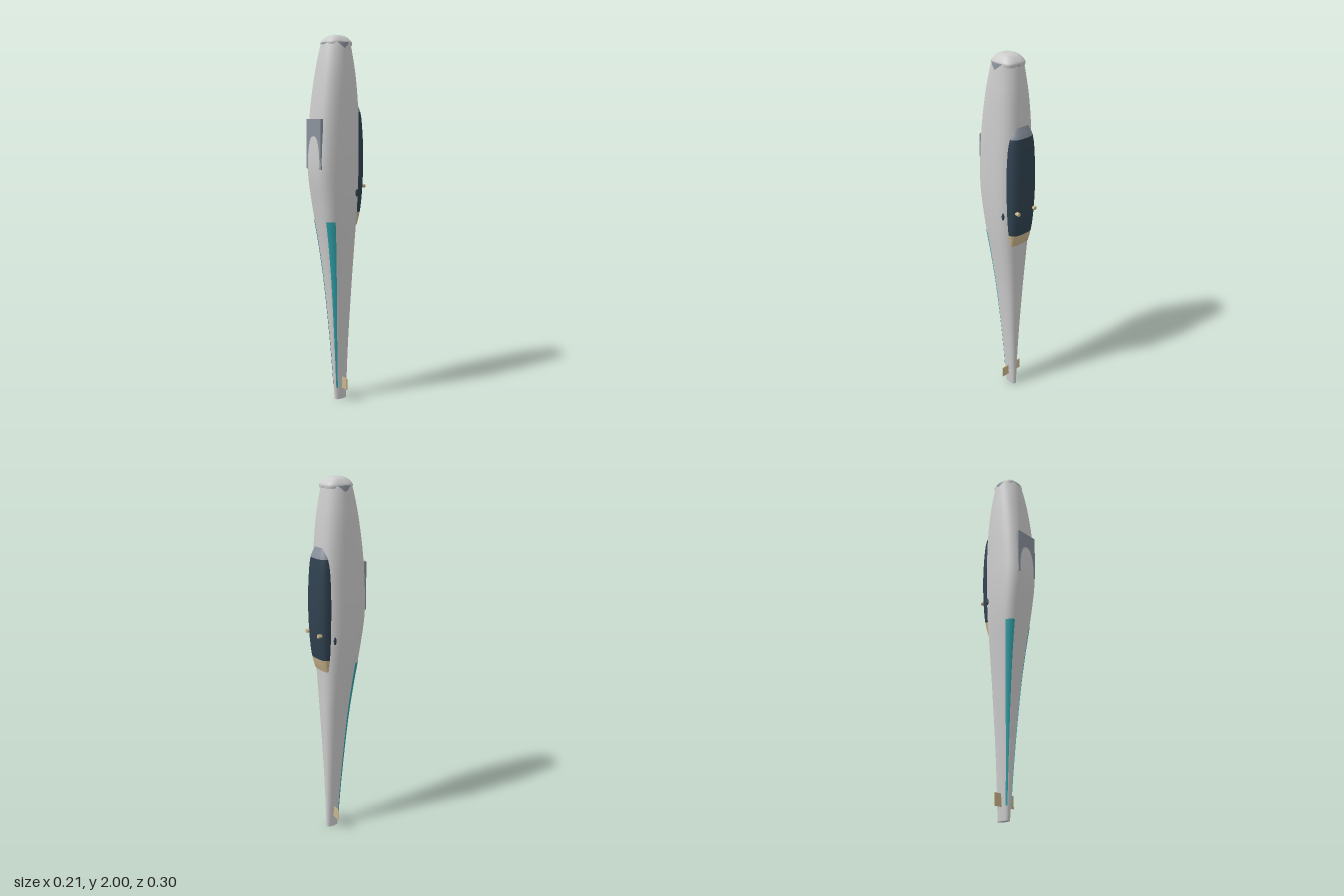
import * as THREE from 'three';

const mat = (color, side = THREE.FrontSide) => new THREE.MeshStandardMaterial({ color, side });
const GREY = 0xcccccc, SLATE = 0x8a929c, GLASS = 0x2f414f, TAN = 0xc9b48c, TEAL = 0x2fa3aa;

// Hull stations: y, half width, front z, back z, squareness
const HULL = [
  [0.00, 0.017, 0.005, -0.068, 2.5],
  [0.30, 0.032, 0.026, -0.075, 2.6],
  [0.68, 0.059, 0.060, -0.090, 2.8],
  [0.90, 0.080, 0.088, -0.099, 2.9],
  [1.10, 0.099, 0.120, -0.107, 3.0],
  [1.30, 0.107, 0.147, -0.113, 3.0],
  [1.50, 0.106, 0.141, -0.114, 3.0],
  [1.65, 0.102, 0.129, -0.111, 2.8],
  [1.80, 0.094, 0.109, -0.100, 2.5],
  [1.90, 0.084, 0.091, -0.087, 2.2],
  [1.96, 0.077, 0.077, -0.077, 2.0],
];
const CAP = [
  [1.945, 0.066, 0.072, -0.078, 3.4],
  [1.962, 0.067, 0.073, -0.079, 3.4],
  [1.975, 0.060, 0.065, -0.070, 3.2],
  [1.988, 0.049, 0.052, -0.056, 3.0],
  [1.997, 0.036, 0.037, -0.040, 2.8],
  [2.000, 0.022, 0.023, -0.025, 2.5],
];

// Smooth interpolation through the stations at height y
function stationAt(table, y) {
  let i = 0;
  while (i < table.length - 2 && y > table[i + 1][0]) i++;
  const t = (y - table[i][0]) / (table[i + 1][0] - table[i][0]);
  const row = k => table[Math.max(0, Math.min(table.length - 1, k))];
  const slope = (k, j) => (row(k + 1)[j] - row(k - 1)[j]) / (row(k + 1)[0] - row(k - 1)[0]);
  const h = table[i + 1][0] - table[i][0];
  return row(i).map((a, j) => {
    if (j === 0) return y;
    const b = row(i + 1)[j], m = slope(i, j) * h, n = slope(i + 1, j) * h;
    return a + m * t + (3 * (b - a) - 2 * m - n) * t * t + (m + n - 2 * (b - a)) * t * t * t;
  });
}

// Point on a rounded-square section; angle 0 is +x, 90 degrees is +z
function sectionPoint([y, w, zf, zb, n], angle, offset = 0) {
  const p = v => Math.sign(v) * Math.abs(v) ** (2 / n);
  return [p(Math.cos(angle)) * (w + offset), y,
    (zf + zb) / 2 + p(Math.sin(angle)) * ((zf - zb) / 2 + offset)];
}

// Surface through rows of points; closed rows wrap round
function skin(rows, closed = false) {
  const n = rows[0].length, pos = rows.flat(2), idx = [];
  for (let r = 0; r < rows.length - 1; r++)
    for (let i = 0; i < (closed ? n : n - 1); i++) {
      const a = r * n + i, b = r * n + (i + 1) % n;
      idx.push(a, a + n, b, b, a + n, b + n);
    }
  const g = new THREE.BufferGeometry();
  g.setAttribute('position', new THREE.Float32BufferAttribute(pos, 3));
  g.setIndex(idx);
  g.computeVertexNormals();
  return g;
}

const range = (n, f) => Array.from({ length: n + 1 }, (_, i) => f(i / n));
const ring = s => range(63, t => sectionPoint(s, t * Math.PI * 2 * 63 / 64));

// Flat lid over a ring
function lid(points) {
  const y = points[0][1];
  const g = new THREE.ShapeGeometry(new THREE.Shape(points.map(p => new THREE.Vector2(p[0], p[2]))));
  return g.rotateX(Math.PI / 2).translate(0, y, 0);
}

export function createModel() {
  const model = new THREE.Group();
  const add = (name, geometry, color, side) => {
    const m = new THREE.Mesh(geometry, mat(color, side));
    m.name = name;
    model.add(m);
    return m;
  };

  // Hull and its end faces
  const hullRings = range(64, t => ring(stationAt(HULL, t * 1.96)));
  add('hull', skin(hullRings, true), GREY);
  add('tailEnd', lid(hullRings[0]), GREY, THREE.DoubleSide);
  add('noseRim', lid(hullRings[64]), SLATE, THREE.DoubleSide);

  // Domed nose cap
  const capRings = range(14, t => ring(stationAt(CAP, 1.945 + t * 0.055)));
  add('noseCap', skin(capRings, true), GREY);
  add('noseTip', lid(capRings[14]), GREY, THREE.DoubleSide);

  // Small slate notches under the cap
  for (let k = 0; k < 4; k++) {
    const mid = k * Math.PI / 2, depth = k % 2 ? 0.012 : 0.03;
    const rows = range(5, t => range(8, u => sectionPoint(
      stationAt(HULL, 1.96 - depth + depth * t), mid + (u - 0.5) * 1.0 * t, 0.001)));
    add('noseNotch', skin(rows), SLATE, THREE.DoubleSide);
  }

  // Slab across the front, with the hull swelling through it
  add('frontPlate', new THREE.BoxGeometry(0.135, 0.26, 0.016).translate(0, 1.44, 0.134), SLATE);

  // Canopy: y, half width, outer z
  const CANOPY = [
    [1.00, 0.062, -0.108], [1.04, 0.068, -0.121], [1.09, 0.075, -0.132], [1.20, 0.083, -0.142],
    [1.35, 0.087, -0.146], [1.48, 0.084, -0.142], [1.60, 0.073, -0.131], [1.66, 0.045, -0.113],
  ];
  const canopyRow = y => {
    const [, w, z] = stationAt(CANOPY, y);
    const inner = -0.088;
    return range(24, t => {
      const a = Math.PI * (1 + t), p = v => Math.sign(v) * Math.abs(v) ** 0.72;
      return [w * p(Math.cos(a)), y, inner + (inner - z) * p(Math.sin(a))];
    });
  };
  const canopyPart = (name, y0, y1, color) =>
    add(name, skin(range(16, t => canopyRow(y0 + (y1 - y0) * t))), color, THREE.DoubleSide);
  canopyPart('canopyLowerFairing', 1.00, 1.07, TAN);
  canopyPart('canopyGlass', 1.07, 1.605, GLASS);
  canopyPart('canopyUpperFairing', 1.605, 1.66, SLATE);

  // Tail plate
  add('tailPlate', new THREE.BoxGeometry(0.134, 0.064, 0.005).translate(0, 0.1, -0.03), TAN);

  for (const s of [1, -1]) {
    // Tapered stripe along the front corner
    const rows = range(40, t => {
      const y = 0.07 + t * 0.96;
      const from = 38 - 13 * t, to = 56 + 6 * t;
      return range(8, u => {
        const p = sectionPoint(stationAt(HULL, y), (from + (to - from) * u) * Math.PI / 180, 0.002);
        return [p[0] * s, p[1], p[2]];
      });
    });
    add('stripe', skin(rows), TEAL, THREE.DoubleSide);

    // Pegs on the canopy
    add('peg', new THREE.CylinderGeometry(0.01, 0.01, 0.03, 16)
      .rotateX(Math.PI / 2).translate(s * 0.057, 1.21, -0.137), TAN);

    // Oval port on the flank
    add('sidePort', new THREE.SphereGeometry(1, 16, 10)
      .scale(0.006, 0.021, 0.008).translate(s * 0.095, 1.18, -0.07), GLASS);
  }
  return model;
}
